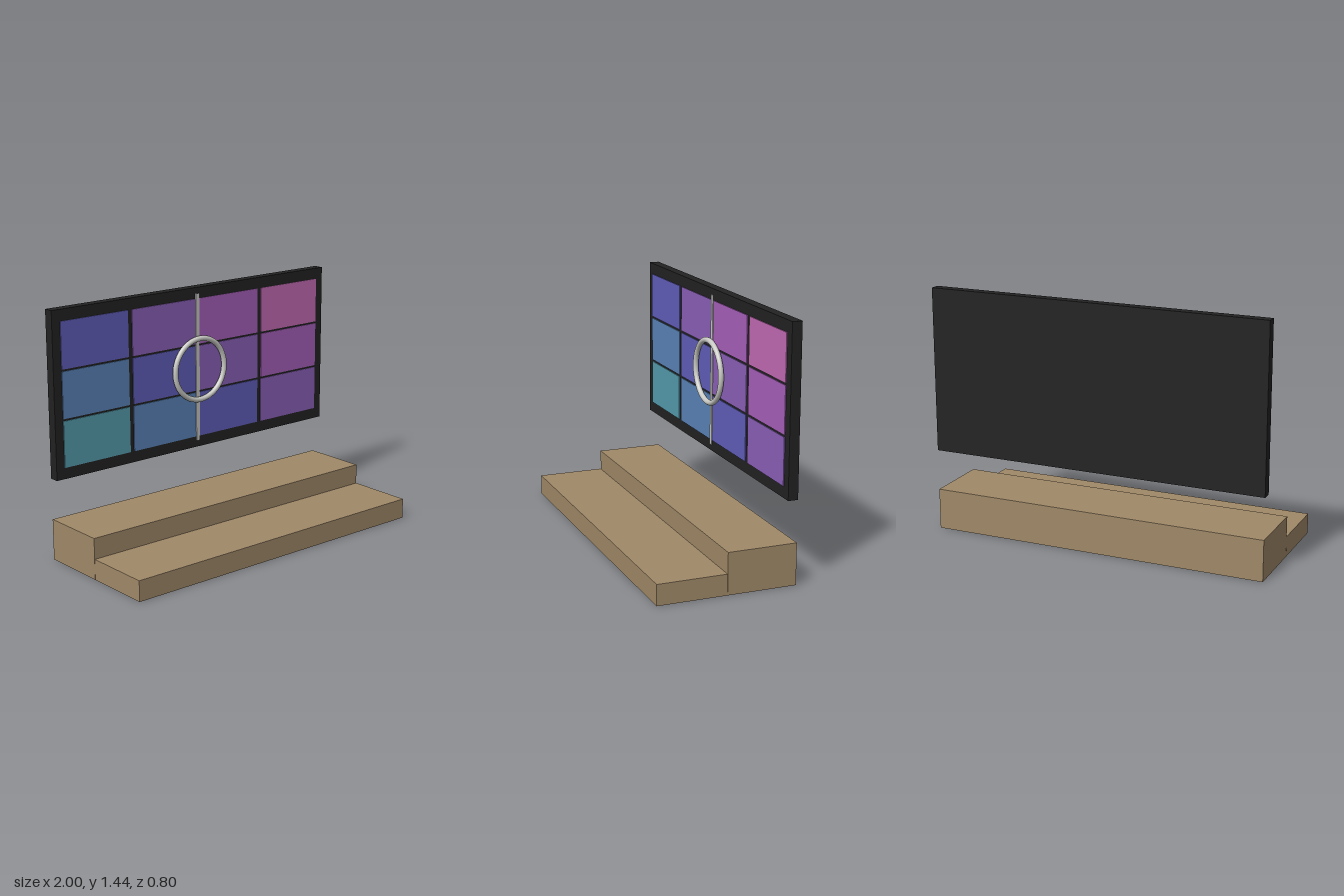
import * as THREE from 'three';

const material = (name, color) => {
  const m = new THREE.MeshStandardMaterial({ color });
  m.name = name;
  return m;
};

export function createModel() {
  const model = new THREE.Group();
  model.name = 'steppedBenchWithWindowPanel';

  const wood = material('wood', 0xa08968);
  const black = material('black frame', 0x222222);
  const metal = material('pale metal', 0xc8c8c4);
  // Pane colours, running diagonally from bottom left to top right
  const glass = [
    material('teal glass', 0x559cad),
    material('blue glass', 0x5a84b8),
    material('indigo glass', 0x625fbb),
    material('purple glass', 0x8b60b8),
    material('magenta glass', 0xa860bc),
    material('pink glass', 0xc46bb6),
  ];

  // Box given by its minimum and maximum corners
  const box = (name, mat, [x0, y0, z0], [x1, y1, z1]) => {
    const mesh = new THREE.Mesh(new THREE.BoxGeometry(x1 - x0, y1 - y0, z1 - z0), mat);
    mesh.position.set((x0 + x1) / 2, (y0 + y1) / 2, (z0 + z1) / 2);
    mesh.name = name;
    model.add(mesh);
  };

  // Two long wooden steps
  box('lowerStep', wood, [-1, 0, 0.001], [1, 0.12, 0.4]);
  box('upperStep', wood, [-1, 0, -0.4], [1, 0.24, -0.001]);

  // Backing panel floating above the rear edge
  const front = -0.342;
  box('framePanel', black, [-1, 0.48, -0.4], [1, 1.44, front]);

  // Four columns by three rows of thin panes
  const columns = [[-0.947, -0.495], [-0.467, -0.003], [0.003, 0.467], [0.495, 0.947]];
  for (let row = 0; row < 3; row++) {
    const y = 0.68 + row * 0.28;
    columns.forEach(([x0, x1], col) => {
      box(`pane${row + 1}_${col + 1}`, glass[row + col],
        [x0, y - 0.134, front], [x1, y + 0.134, front + 0.005]);
    });
  }

  // Flat centre bar
  box('centreBar', metal, [-0.013, 0.52, front + 0.005], [0.013, 1.405, front + 0.01]);

  // Round ring in front of the bar
  const ring = new THREE.Mesh(new THREE.TorusGeometry(0.183, 0.016, 16, 64), metal);
  ring.position.set(0, 0.96, -0.313);
  ring.name = 'ringHandle';
  model.add(ring);

  return model;
}
